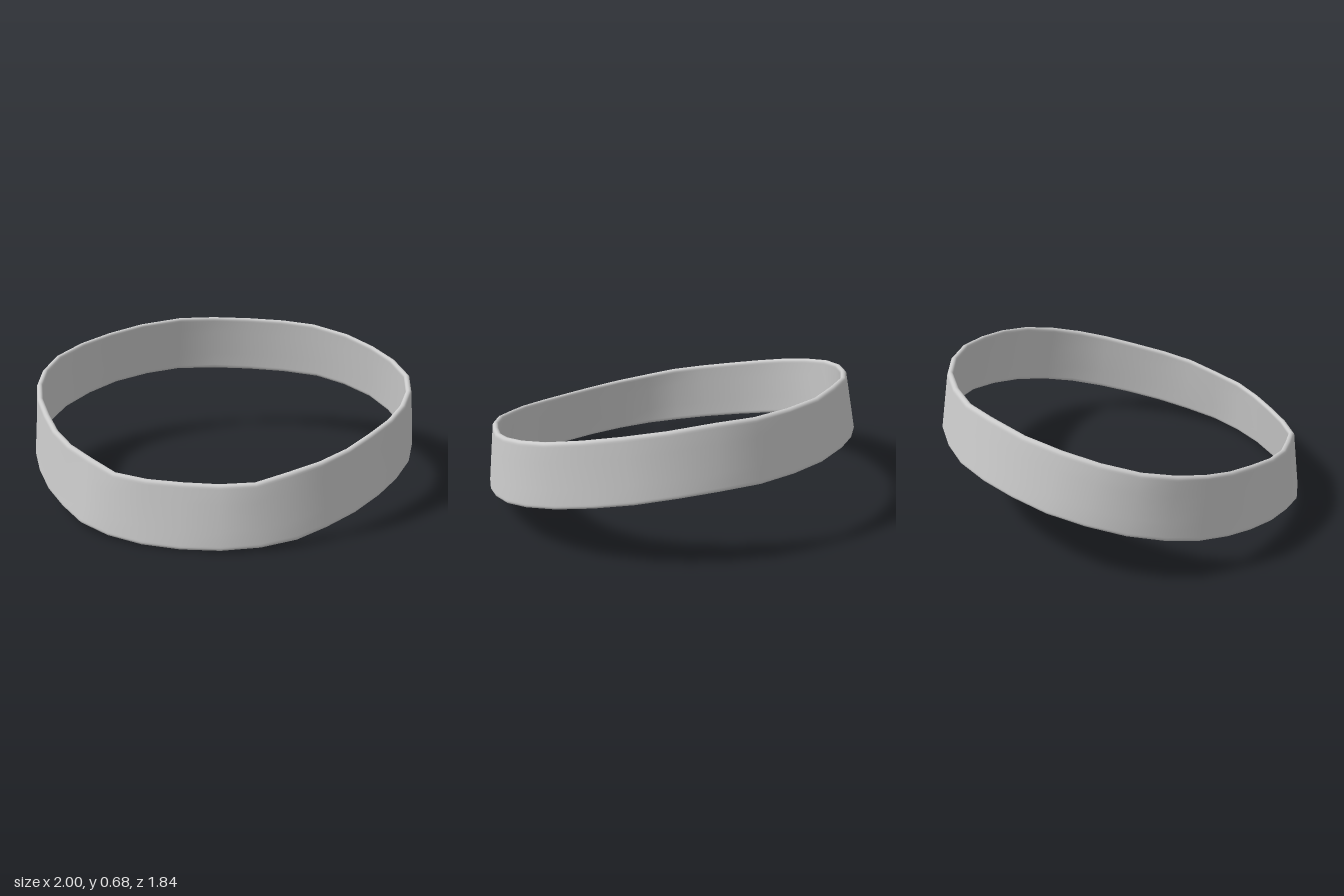
import * as THREE from 'three';

// Half outlines as [x, z], running from the back centre round the left side to the front centre
const BOTTOM_OUTER = [
  [0, -0.925], [0.21, -0.91], [0.42, -0.85], [0.59, -0.76], [0.75, -0.64], [0.87, -0.49],
  [0.96, -0.32], [1, -0.14], [0.995, 0.03], [0.945, 0.2], [0.875, 0.35], [0.775, 0.51],
  [0.655, 0.65], [0.53, 0.77], [0.37, 0.855], [0.19, 0.905], [0, 0.92],
];
const TOP_INNER = [
  [0, -0.85], [0.2, -0.835], [0.38, -0.775], [0.58, -0.67], [0.73, -0.54], [0.85, -0.4],
  [0.935, -0.24], [0.955, -0.08], [0.935, 0.07], [0.885, 0.21], [0.8, 0.36], [0.71, 0.5],
  [0.6, 0.62], [0.47, 0.71], [0.33, 0.8], [0.17, 0.83], [0, 0.835],
];
const WALL = 0.03;
const RIM = 0.045; // share of the height taken by each rounded rim

// Mirror a half outline into a closed ring
const ring = (half) => [
  ...half.map(([x, z]) => new THREE.Vector2(x, z)),
  ...half.slice(1, -1).reverse().map(([x, z]) => new THREE.Vector2(-x, z)),
];

// Move a ring outward along its own normals
function offset(points, d) {
  const n = points.length;
  return points.map((p, i) => {
    const t = points[(i + 1) % n].clone().sub(points[(i + n - 1) % n]).normalize();
    return new THREE.Vector2(p.x + t.y * d, p.y - t.x * d);
  });
}

// Heights of the slanted lower and upper edges
const bottomY = (z) => THREE.MathUtils.clamp(0.195 - 0.21 * z, 0, 0.37);
const topY = (z) =>
  Math.min(0.685, 0.525 - (z < 0 ? 0.2 : 0.222) * z - 0.09 * Math.max(0, z - 0.65));

// Closed wall section as [height share, inset share]: outside up, over the rim, inside down
function wallSection() {
  const pts = [];
  for (const t of [0.07, 0.3, 0.5, 0.7, 0.93]) pts.push([t, 0]);
  for (let k = 0; k <= 6; k++) {
    const a = (k / 6) * Math.PI;
    pts.push([1 - RIM + RIM * Math.sin(a), 0.5 - 0.5 * Math.cos(a)]);
  }
  return [...pts, ...pts.map(([t, d]) => [1 - t, 1 - d])];
}

function bandGeometry() {
  const bottom = ring(BOTTOM_OUTER), bottomIn = offset(bottom, -WALL);
  const topIn = ring(TOP_INNER), top = offset(topIn, WALL);
  const section = wallSection();
  const n = bottom.length, m = section.length;
  const positions = [], index = [];
  for (let i = 0; i < n; i++) {
    const y0 = bottomY(bottom[i].y), y1 = topY(top[i].y);
    section.forEach(([t, d], j) => {
      const low = bottom[i].clone().lerp(bottomIn[i], d);
      const p = low.lerp(top[i].clone().lerp(topIn[i], d), t);
      positions.push(p.x, y0 + (y1 - y0) * t, p.y);
      const i2 = (i + 1) % n, j2 = (j + 1) % m;
      const a = i * m + j, b = i * m + j2, c = i2 * m + j2, e = i2 * m + j;
      index.push(a, b, e, b, c, e);
    });
  }
  const geometry = new THREE.BufferGeometry();
  geometry.setAttribute('position', new THREE.Float32BufferAttribute(positions, 3));
  geometry.setIndex(index);
  geometry.computeVertexNormals();
  return geometry;
}

export function createModel() {
  const group = new THREE.Group();
  group.name = 'slantedBand';
  const band = new THREE.Mesh(
    bandGeometry(),
    new THREE.MeshStandardMaterial({ color: 0xcccccc }),
  );
  band.name = 'band';
  group.add(band);
  return group;
}
